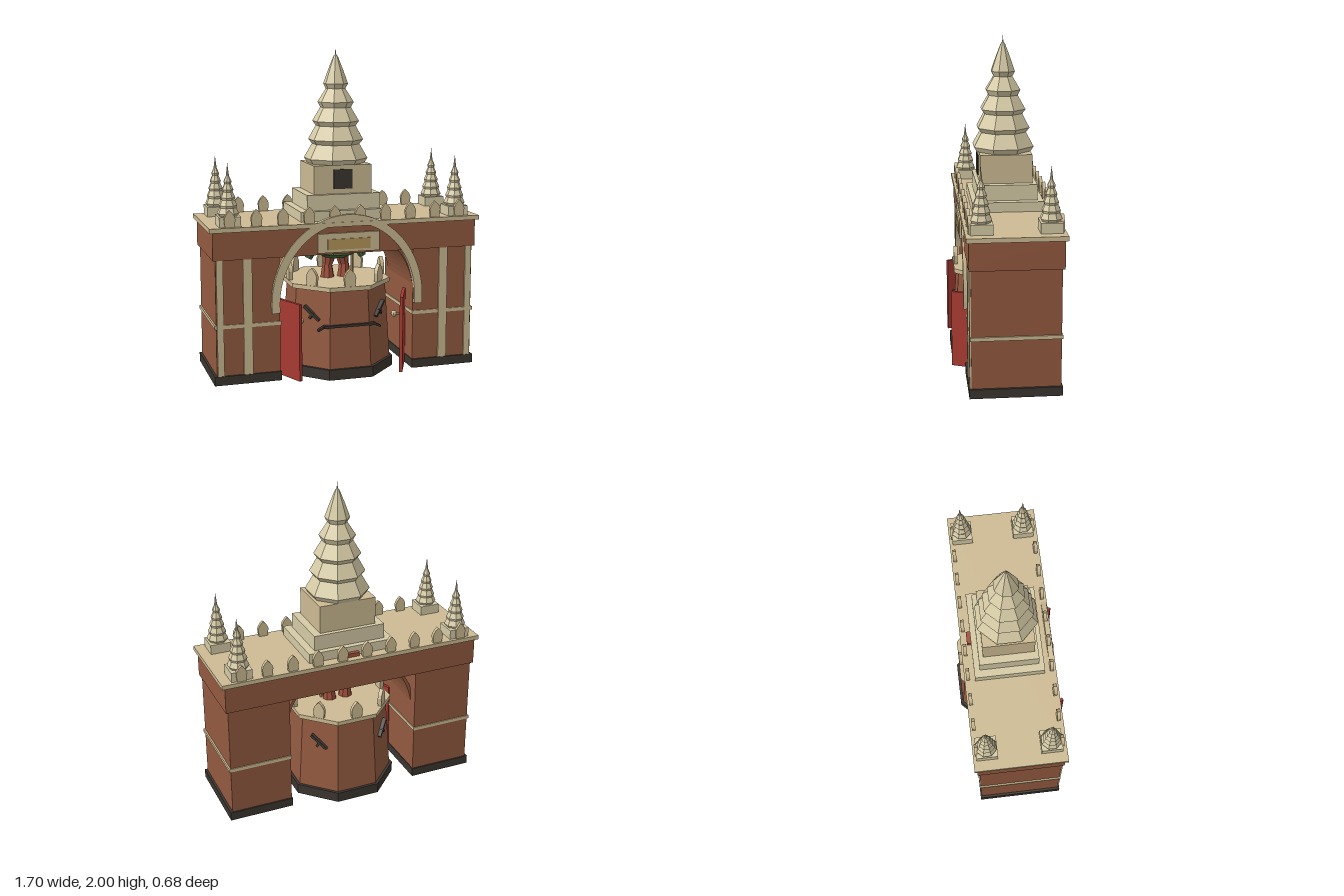
import * as THREE from 'three';

const mat = (color, extra = {}) => new THREE.MeshStandardMaterial({ color, flatShading: true, ...extra });
const brick = mat(0x935a40), tan = mat(0xcdbb93), cream = mat(0xd6cba6), dark = mat(0x3b352f);
const red = mat(0xa83a32), gold = mat(0xb5965a), green = mat(0x4a6a3a), rust = mat(0xa0503c);

function add(parent, name, geo, material, x = 0, y = 0, z = 0) {
  const m = new THREE.Mesh(geo, material);
  m.name = name;
  m.position.set(x, y, z);
  parent.add(m);
  return m;
}

// Box given by its min and max on each axis
function box(parent, name, material, x0, x1, y0, y1, z0, z1) {
  return add(parent, name, new THREE.BoxGeometry(x1 - x0, y1 - y0, z1 - z0), material,
    (x0 + x1) / 2, (y0 + y1) / 2, (z0 + z1) / 2);
}

// Eight-sided lathe with flats on the axes; radii are measured to the flats
function octagon(parent, name, material, profile, x = 0, z = 0) {
  const pts = profile.map(([r, y]) => new THREE.Vector2(r / Math.cos(Math.PI / 8), y));
  const geo = new THREE.LatheGeometry(pts, 8, Math.PI / 8);
  return add(parent, name, geo, material, x, 0, z);
}

// Pointed battlement standing on y = 0, centred in depth
function merlonGeometry(w, h, d) {
  const s = new THREE.Shape();
  s.moveTo(-w * 0.42, 0);
  s.lineTo(w * 0.42, 0);
  s.lineTo(w / 2, h * 0.5);
  s.quadraticCurveTo(w * 0.4, h * 0.8, 0, h);
  s.quadraticCurveTo(-w * 0.4, h * 0.8, -w / 2, h * 0.5);
  const g = new THREE.ExtrudeGeometry(s, { depth: d, bevelEnabled: false, curveSegments: 3 });
  return g.translate(0, 0, -d / 2);
}

// Elliptical arch band
function archGeometry(outX, outY, inX, inY, depth) {
  const s = new THREE.Shape();
  s.absellipse(0, 0.48, outX, outY, -0.1, Math.PI + 0.1, false);
  s.absellipse(0, 0.48, inX, inY, Math.PI + 0.1, -0.1, true);
  return new THREE.ExtrudeGeometry(s, { depth, bevelEnabled: false, curveSegments: 20 });
}

function tower(root, s) {
  const g = new THREE.Group();
  g.name = s > 0 ? 'leftTower' : 'rightTower';
  root.add(g);
  const bx = (name, m, a, b, ...rest) => box(g, name, m, Math.min(s * a, s * b), Math.max(s * a, s * b), ...rest);
  bx('plinth', dark, 0.42, 0.83, 0.01, 0.065, -0.27, 0.268);
  bx('wall', brick, 0.425, 0.815, 0.065, 0.77, -0.262, 0.256);
  bx('band', tan, 0.42, 0.825, 0.355, 0.377, -0.268, 0.262);
  bx('outerPilaster', tan, 0.77, 0.81, 0.065, 0.77, 0.25, 0.265);
  bx('innerPilaster', tan, 0.595, 0.65, 0.065, 0.77, 0.25, 0.265);
}

function door(root, s) {
  // Leaf swung outward from a hinge inside the passage
  const g = new THREE.Group();
  g.name = s > 0 ? 'leftDoor' : 'rightDoor';
  g.position.set(s * 0.425, 0, 0.1);
  g.rotation.y = -s * 0.415;
  root.add(g);
  box(g, 'doorLeaf', red, -0.01, 0.01, 0.015, 0.49, 0, 0.262);
  for (const y of [0.11, 0.25, 0.38]) {
    add(g, 'hinge', new THREE.CylinderGeometry(0.009, 0.009, 0.03, 6), dark, -s * 0.014, y, 0.03);
  }
  const stem = add(g, 'knobStem', new THREE.CylinderGeometry(0.007, 0.007, 0.04, 6), gold, -s * 0.025, 0.37, 0.2);
  stem.rotation.z = Math.PI / 2;
  add(g, 'knob', new THREE.SphereGeometry(0.02, 8, 6), tan, -s * 0.05, 0.37, 0.2);
}

function bastion(root) {
  const g = new THREE.Group();
  g.name = 'bastion';
  root.add(g);
  octagon(g, 'bastionBase', dark, [[0, 0], [0.335, 0], [0.335, 0.065], [0, 0.065]]);
  octagon(g, 'bastionWall', brick, [[0.318, 0.065], [0.288, 0.545]]);
  octagon(g, 'bastionTop', tan, [[0, 0.545], [0.315, 0.545], [0.315, 0.572], [0, 0.572]]);
  const merlon = merlonGeometry(0.075, 0.11, 0.024);
  for (let i = 0; i < 8; i++) {
    const a = (i * Math.PI) / 4;
    const m = add(g, 'bastionMerlon', merlon, tan, Math.sin(a) * 0.3, 0.57, Math.cos(a) * 0.3);
    m.rotation.y = a;
    // Slanted pegs on the four diagonal faces
    if (i % 2) {
      const arm = new THREE.Group();
      arm.name = 'wallPeg';
      arm.rotation.y = a;
      g.add(arm);
      const p = add(arm, 'peg', new THREE.BoxGeometry(0.13, 0.016, 0.025), dark, 0, 0.4, 0.308);
      p.rotation.z = i === 1 || i === 5 ? 0.65 : -0.65;
      const q = add(arm, 'pegHandle', new THREE.BoxGeometry(0.016, 0.045, 0.022), dark, 0, 0.385, 0.31);
      q.rotation.z = p.rotation.z;
    }
  }
  // Shelf on the front face
  box(g, 'shelf', dark, -0.165, 0.165, 0.322, 0.337, 0.285, 0.318);
  for (const s of [-1, 1]) {
    const e = add(g, 'shelfEnd', new THREE.BoxGeometry(0.05, 0.013, 0.025), dark, s * 0.178, 0.318, 0.29);
    e.rotation.z = -s * 0.5;
  }
}

function guard(root) {
  const g = new THREE.Group();
  g.name = 'guard';
  root.add(g);
  for (const s of [-1, 1]) {
    add(g, 'boot', new THREE.CylinderGeometry(0.03, 0.045, 0.09, 8), rust, s * 0.055, 0.617, 0);
    const leg = add(g, 'leg', new THREE.CylinderGeometry(0.055, 0.032, 0.1, 8), rust, s * 0.045, 0.7, 0);
    leg.rotation.z = s * 0.15;
    const sleeve = add(g, 'sleeve', new THREE.CylinderGeometry(0.035, 0.025, 0.13, 8), green, s * 0.15, 0.755, 0);
    sleeve.rotation.z = s * 0.45;
  }
  octagon(g, 'coat', green, [[0, 0.7], [0.07, 0.7], [0.13, 0.73], [0.12, 0.8], [0.09, 0.9], [0, 0.92]]);
  add(g, 'staff', new THREE.CylinderGeometry(0.009, 0.009, 0.28, 6), gold, 0.1, 0.71, 0.03);
}

function cornerSpire(root, x, z) {
  const g = new THREE.Group();
  g.name = 'cornerSpire';
  root.add(g);
  box(g, 'spireBase', cream, x - 0.065, x + 0.065, 0.965, 1.025, z - 0.065, z + 0.065);
  const profile = [[0.052, 1.025]];
  for (let i = 0; i < 5; i++) {
    const r = 0.061 - i * 0.0095, y = 1.04 + i * 0.047;
    profile.push([r, y], [r - 0.014, y + 0.033]);
  }
  profile.push([0.006, 1.285], [0, 1.34]);
  octagon(g, 'spireTiers', cream, profile, x, z);
}

export function createModel() {
  const root = new THREE.Group();
  root.name = 'gatehouse';

  for (const s of [-1, 1]) {
    tower(root, s);
    door(root, s);
  }

  // Lintel, roof and arch
  box(root, 'lintel', brick, -0.83, 0.83, 0.77, 0.94, -0.275, 0.268);
  box(root, 'roofSlab', tan, -0.85, 0.85, 0.938, 0.965, -0.29, 0.283);
  add(root, 'archTrim', archGeometry(0.48, 0.53, 0.43, 0.48, 0.033), tan, 0, 0, 0.245);
  add(root, 'archVault', archGeometry(0.45, 0.46, 0.43, 0.445, 0.445), brick, 0, 0, -0.2);
  box(root, 'signBoard', tan, -0.195, 0.195, 0.782, 0.9, 0.26, 0.283);
  box(root, 'signPanel', gold, -0.135, 0.135, 0.8, 0.865, 0.275, 0.289);

  bastion(root);
  guard(root);

  // Battlements along the front and back of the roof
  const merlon = merlonGeometry(0.068, 0.102, 0.022);
  for (let i = 0; i < 10; i++) {
    for (const z of [-0.267, 0.255]) add(root, 'roofMerlon', merlon, tan, -0.725 + i * 0.161, 0.963, z);
  }
  box(root, 'roofBlock', rust, -0.04, 0.04, 0.96, 0.99, -0.25, -0.225);

  for (const x of [-0.72, 0.72]) for (const z of [-0.205, 0.19]) cornerSpire(root, x, z);

  // Stepped base and tiered central spire
  box(root, 'lowerStep', cream, -0.28, 0.28, 0.965, 1.025, -0.225, 0.21);
  box(root, 'upperStep', cream, -0.232, 0.232, 1.025, 1.12, -0.19, 0.178);
  box(root, 'spireBlock', tan, -0.183, 0.183, 1.12, 1.295, -0.163, 0.155);
  box(root, 'window', dark, -0.06, 0.06, 1.15, 1.27, 0.145, 0.162);
  octagon(root, 'centralSpire', cream, [
    [0, 1.295], [0.165, 1.295], [0.183, 1.325], [0.137, 1.412], [0.158, 1.44], [0.115, 1.525], [0.134, 1.553],
    [0.088, 1.637], [0.104, 1.67], [0.056, 1.752], [0.071, 1.782], [0.045, 1.86], [0.014, 1.945], [0.004, 1.96], [0, 2],
  ]);
  return root;
}
